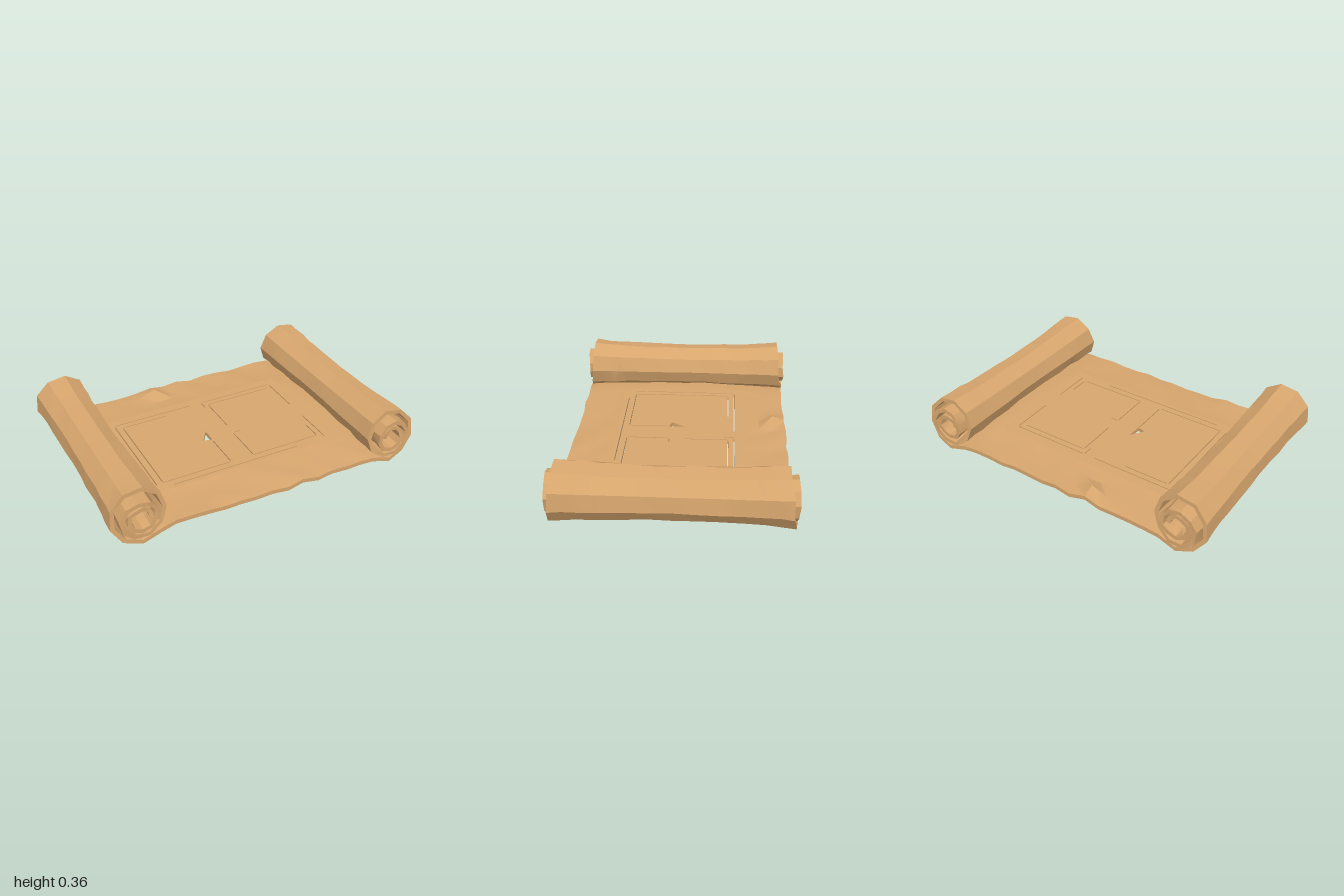
import * as THREE from 'three';
import { toCreasedNormals } from 'three/addons/utils/BufferGeometryUtils.js';

const HALF = 0.013;      // half the paper thickness
const FLAT_Y = 0.065;    // height of the flat sheet
const PANEL_X = 0.62, PANEL_V = 0.607, SHEET_Z = 0.675;
const PANEL_Z = PANEL_V * SHEET_Z;

let seed = 11;
function rand() { // seeded, -1..1
  seed = (seed * 16807) % 2147483647;
  return (seed / 2147483647) * 2 - 1;
}

// Columns across the scroll, from the left roll's core to the right roll's core
function makeColumns() {
  const right = [{ kind: 'join', side: 1 }];
  for (let i = 0; i <= 26; i++) right.push({ kind: 'roll', turn: i / 9.5, side: 1 });
  const left = right.map(c => ({ ...c, side: -1 })).reverse();
  const flat = [];
  for (let i = 0; i <= 12; i++) flat.push({ kind: 'flat', x: -PANEL_X + PANEL_X * i / 6 });
  return [...left, ...flat, ...right];
}

// Middle of the paper at one column and one row (v = -1 back, 1 front)
function centrePoint(c, v) {
  const atEnd = Math.abs(v) === 1;
  const pinch = 0.84 + 0.16 * v * v;
  if (c.kind === 'flat') {
    const outside = Math.abs(v) > PANEL_V + 0.01;
    let y = FLAT_Y;
    if (outside) y -= 0.016 * (1 + rand()) * (atEnd ? 1 : 0.6);
    if (v < -0.85 && Math.abs(c.x + 0.207) < 0.01) y = atEnd ? 0.07 : 0.1; // small fold
    const z = v * SHEET_Z + (atEnd ? rand() * 0.007 : 0);
    return new THREE.Vector3(c.x, y, z);
  }
  if (c.kind === 'join') {
    const y = 0.18 - 0.152 * pinch + 0.018;
    return new THREE.Vector3(c.side * 0.71, y, v * 0.68);
  }
  const d = Math.max(0, c.turn - 0.55);
  const r = 0.163 - 0.085 * d / (1 + 0.35 * d) + rand() * 0.005;
  const a = c.turn * Math.PI * 2;
  const zEnd = 0.69 - 0.045 * Math.sin(Math.PI * Math.min(c.turn, 1)) + (atEnd ? rand() * 0.006 : 0);
  return new THREE.Vector3(
    c.side * (0.825 + Math.sin(a) * r * (0.6 * pinch + 0.4)),
    0.18 - Math.cos(a) * r * pinch,
    v * zEnd + (atEnd ? 0 : rand() * 0.02));
}

// Rolled sheet: upper and lower skins with closed rims and an opening for the panel
function rolledSheet() {
  const cols = makeColumns();
  const half = [0.2, 0.4, PANEL_V, 0.75, 0.88, 1];
  const rows = [...half.map(v => -v).reverse(), 0, ...half];
  const C = cols.length, R = rows.length;
  const mid = cols.map(c => rows.map(v => centrePoint(c, v)));
  const pos = [], index = [];
  for (const s of [1, -1]) {
    for (let i = 0; i < C; i++) {
      for (let j = 0; j < R; j++) {
        const t = mid[Math.min(i + 1, C - 1)][j].clone().sub(mid[Math.max(i - 1, 0)][j]);
        t.z = 0;
        t.normalize();
        if (cols[i].kind === 'flat') t.set(1, 0, 0);
        const p = mid[i][j];
        pos.push(p.x - t.y * HALF * s, p.y + t.x * HALF * s, p.z);
      }
    }
  }
  const up = (i, j) => i * R + j, low = (i, j) => C * R + i * R + j;
  const quad = (a, b, c, d) => index.push(a, b, c, a, c, d);
  for (let i = 0; i < C - 1; i++) {
    for (let j = 0; j < R - 1; j++) {
      const panel = cols[i].kind === 'flat' && cols[i + 1].kind === 'flat' &&
        Math.abs(rows[j] + rows[j + 1]) / 2 < PANEL_V;
      if (panel) continue;
      quad(up(i, j), up(i, j + 1), up(i + 1, j + 1), up(i + 1, j));
      quad(low(i, j), low(i + 1, j), low(i + 1, j + 1), low(i, j + 1));
    }
    const e = R - 1; // front and back rims
    quad(up(i, e), low(i, e), low(i + 1, e), up(i + 1, e));
    quad(up(i, 0), up(i + 1, 0), low(i + 1, 0), low(i, 0));
  }
  for (let j = 0; j < R - 1; j++) { // rims inside the rolls
    quad(up(0, j), low(0, j), low(0, j + 1), up(0, j + 1));
    quad(up(C - 1, j), up(C - 1, j + 1), low(C - 1, j + 1), low(C - 1, j));
  }
  const geo = new THREE.BufferGeometry();
  geo.setAttribute('position', new THREE.Float32BufferAttribute(pos, 3));
  geo.setIndex(index);
  return toCreasedNormals(geo, 0.55);
}

// Flat middle with the plan cut through it as narrow slits
function planPanel() {
  const outline = pts => pts.map(([x, z]) => new THREE.Vector2(x, -z));
  const shape = new THREE.Shape(outline([
    [-PANEL_X, PANEL_Z], [PANEL_X, PANEL_Z], [PANEL_X, -PANEL_Z], [-PANEL_X, -PANEL_Z]]));
  const w = 0.0035;
  const cut = pts => shape.holes.push(new THREE.Path(outline(pts)));
  const slit = (x0, x1, z0, z1) => cut([[x0, z0], [x1, z0], [x1, z1], [x0, z1]]);
  const across = (z, x0, x1) => slit(x0, x1, z - w, z + w);
  const along = (x, z0, z1) => slit(x - w, x + w, z0, z1);
  // left room
  across(-0.345, -0.585, -0.05);
  along(-0.592, -0.335, 0.34);
  across(-0.305, -0.54, -0.25);
  along(-0.549, -0.3, 0.325);
  across(0.335, -0.55, -0.105);
  along(-0.098, 0.085, 0.325);
  // right room
  across(-0.345, 0.04, 0.55);
  along(0.03, -0.34, -0.28);
  along(0.555, -0.335, -0.06);
  across(-0.305, 0.07, 0.52);
  along(0.063, -0.3, -0.03);
  across(0.065, 0.065, 0.11);
  along(0.057, 0.075, 0.325);
  across(0.335, 0.06, 0.51);
  along(0.517, 0.2, 0.325);
  along(0.555, 0.1, 0.36);
  across(0.38, -0.5, 0.34);
  // torn hole
  cut([[-0.093, -0.025], [-0.15, 0.06], [-0.095, 0.075]]);
  const geo = new THREE.ExtrudeGeometry(shape, { depth: HALF * 2, bevelEnabled: false });
  geo.rotateX(-Math.PI / 2);
  geo.translate(0, FLAT_Y - HALF, 0);
  return geo;
}

export function createModel() {
  seed = 11;
  const parchment = new THREE.MeshStandardMaterial({ color: 0xd6a56d });
  parchment.name = 'parchment';
  const group = new THREE.Group();
  group.name = 'scroll';
  const add = (name, geo) => {
    const mesh = new THREE.Mesh(geo, parchment);
    mesh.name = name;
    group.add(mesh);
  };
  add('rolledSheet', rolledSheet());
  add('planPanel', planPanel());
  return group;
}
